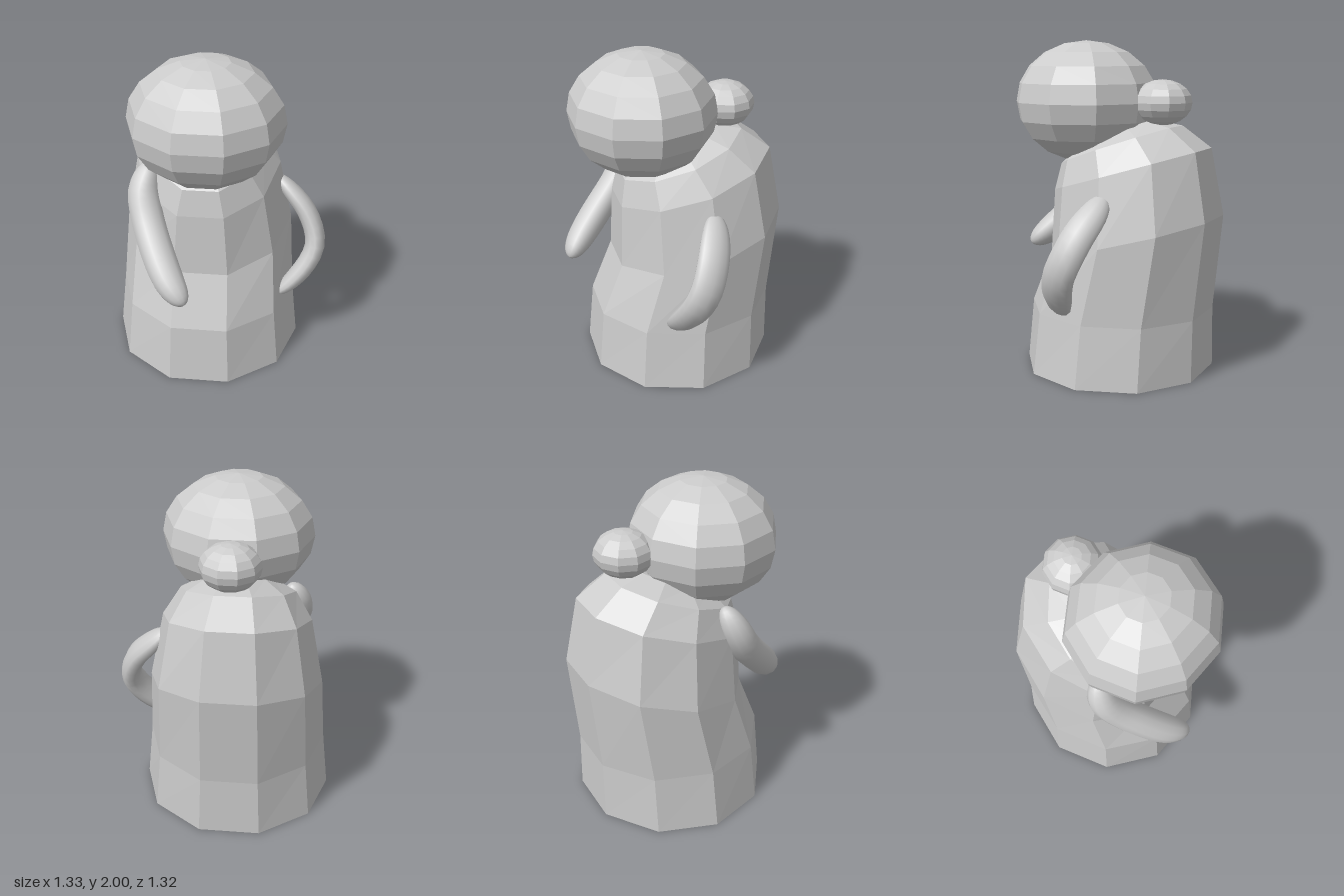
import * as THREE from 'three';

const grey = (flat) => new THREE.MeshStandardMaterial({ color: 0xcccccc, flatShading: flat });

function addMesh(group, name, geometry, flat) {
  const mesh = new THREE.Mesh(geometry, grey(flat));
  mesh.name = name;
  group.add(mesh);
  return mesh;
}

// Faceted ellipsoid with ten sides
function addBall(group, name, center, radii) {
  const ball = addMesh(group, name, new THREE.SphereGeometry(1, 10, 10), true);
  ball.position.set(...center);
  ball.scale.set(...radii);
}

// Ten-sided robe: each row of a cylinder is moved onto a leaning ring
// ring: [radiusX, y at front, z at front, y at back, z at back]
function robeGeometry(rings) {
  const rows = rings.length - 1;
  const flat = Math.sin(Math.PI * 0.4); // the front side of a ten-gon lies at this z
  const geo = new THREE.CylinderGeometry(1, 1, rows, 10, rows, false, Math.PI / 2);
  const pos = geo.attributes.position;
  for (let i = 0; i < pos.count; i++) {
    const [rx, yf, zf, yb, zb] = rings[Math.round(pos.getY(i) + rows / 2)];
    const s = pos.getZ(i) / flat;
    pos.setXYZ(i,
      -0.08 + rx * pos.getX(i),
      (yf + yb) / 2 + s * (yf - yb) / 2,
      (zf + zb) / 2 + s * (zf - zb) / 2);
  }
  geo.computeVertexNormals();
  return geo;
}

// Smooth curved limb with an oval section and rounded ends
function limbGeometry(points, wideAxis, wide, thin) {
  const sides = 12, steps = 24;
  const curve = new THREE.CatmullRomCurve3(points.map((p) => new THREE.Vector3(...p)));
  const verts = [], index = [];
  for (let j = 0; j <= steps; j++) {
    // rings crowd together towards the ends
    const c = -Math.cos((j / steps) * Math.PI);
    const t = (c + 1) / 2;
    const r = Math.pow(Math.max(0, 1 - Math.pow(Math.abs(c), 4)), 0.5);
    const p = curve.getPointAt(t), dir = curve.getTangentAt(t);
    const w = new THREE.Vector3(...wideAxis);
    w.addScaledVector(dir, -w.dot(dir)).normalize();
    const n = new THREE.Vector3().crossVectors(dir, w);
    for (let i = 0; i < sides; i++) {
      const a = (i / sides) * Math.PI * 2;
      const v = p.clone()
        .addScaledVector(w, Math.cos(a) * wide * r)
        .addScaledVector(n, Math.sin(a) * thin * r);
      verts.push(v.x, v.y, v.z);
      if (j < steps) {
        const k = j * sides + i, m = j * sides + (i + 1) % sides;
        index.push(k, m, k + sides, m, m + sides, k + sides);
      }
    }
  }
  const geo = new THREE.BufferGeometry();
  geo.setAttribute('position', new THREE.Float32BufferAttribute(verts, 3));
  geo.setIndex(index);
  geo.computeVertexNormals();
  return geo;
}

export function createModel() {
  const model = new THREE.Group();
  model.name = 'figure';

  // Hunched robe, from the hem up to the shoulders
  addMesh(model, 'robe', robeGeometry([
    [0.59, 0, 0.52, 0, -0.6],
    [0.55, 0.375, 0.485, 0.375, -0.6],
    [0.52, 0.7, 0.355, 0.96, -0.66],
    [0.44, 1.09, 0.34, 1.365, -0.585],
    [0.34, 1.25, 0.31, 1.495, -0.41],
    [0.2, 1.36, 0.2, 1.525, -0.25],
  ]), true);

  // Head and hair bun
  addBall(model, 'head', [-0.06, 1.632, 0.177], [0.455, 0.368, 0.44]);
  addBall(model, 'hairBun', [-0.06, 1.637, -0.33], [0.177, 0.135, 0.176]);

  // Left arm, bent with the hand at the hip
  addMesh(model, 'leftArm', limbGeometry([
    [0.34, 1.12, -0.15], [0.44, 1.02, -0.12], [0.53, 0.92, -0.08], [0.59, 0.79, -0.03],
    [0.595, 0.7, 0.01], [0.55, 0.6, 0.05], [0.46, 0.49, 0.09], [0.37, 0.41, 0.12],
  ], [0, 0.35, 0.94], 0.1, 0.062), false);

  // Right arm, reaching forward
  addMesh(model, 'rightArm', limbGeometry([
    [-0.39, 1.33, 0.13], [-0.43, 1.17, 0.2], [-0.4, 1.04, 0.28],
    [-0.33, 0.9, 0.41], [-0.24, 0.77, 0.54], [-0.14, 0.68, 0.64],
  ], [1, 0.3, 0], 0.1, 0.095), false);

  return model;
}
